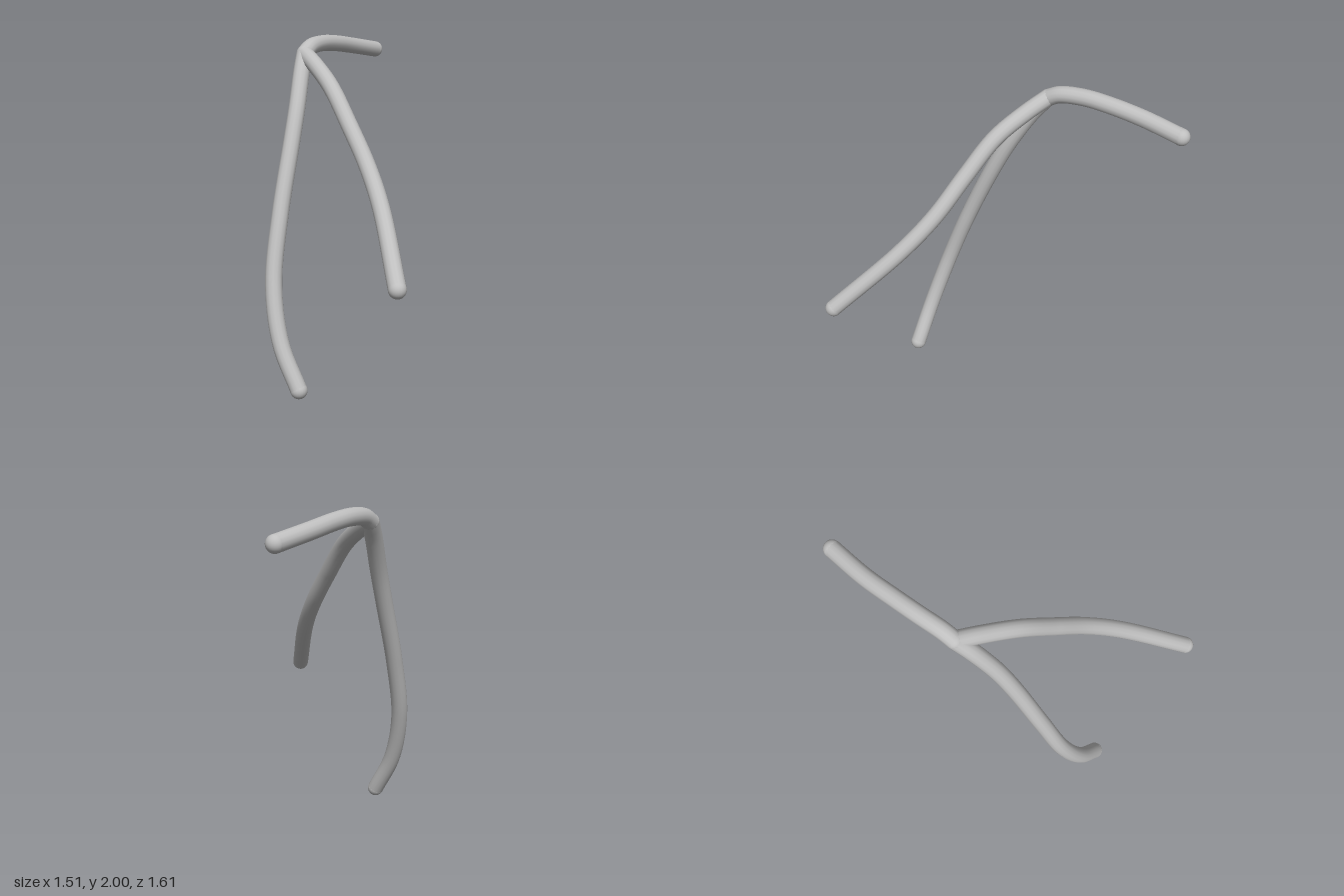
import * as THREE from 'three';

const RADIUS = 0.05;

export function createModel() {
  const group = new THREE.Group();
  const grey = new THREE.MeshStandardMaterial({ color: 0xbfbfbf });
  grey.name = 'light grey';

  const add = (name, geometry) => {
    const mesh = new THREE.Mesh(geometry, grey);
    mesh.name = name;
    group.add(mesh);
    return mesh;
  };
  const ball = (name, p) =>
    add(name, new THREE.SphereGeometry(RADIUS, 20, 14)).position.set(...p);

  // All three branches start at the shared joint
  const joint = [-0.11, 1.9, -0.54];
  const branches = {
    frontBranch: [
      [-0.15, 1.84, -0.4], [-0.207, 1.725, -0.2], [-0.255, 1.53, 0],
      [-0.305, 1.32, 0.2], [-0.395, 1.12, 0.4], [-0.625, 0.77, 0.75],
    ],
    lowerBranch: [
      [-0.18, 1.8, -0.49], [-0.285, 1.6, -0.415], [-0.375, 1.4, -0.365],
      [-0.535, 1.0, -0.29], [-0.655, 0.62, -0.215], [-0.705, 0.3, -0.1],
      [-0.695, 0.055, 0.04],
    ],
    sideBranch: [
      [-0.04, 1.935, -0.565], [0.1, 1.95, -0.615], [0.25, 1.942, -0.66],
      [0.45, 1.917, -0.713], [0.7, 1.88, -0.755],
    ],
  };

  // Round tubes with domed tips
  for (const [name, points] of Object.entries(branches)) {
    const path = new THREE.CatmullRomCurve3(
      [joint, ...points].map((p) => new THREE.Vector3(...p)), false, 'centripetal');
    add(name, new THREE.TubeGeometry(path, 40, RADIUS, 14));
    ball(name + 'Tip', points[points.length - 1]);
  }
  ball('joint', joint);

  return group;
}
